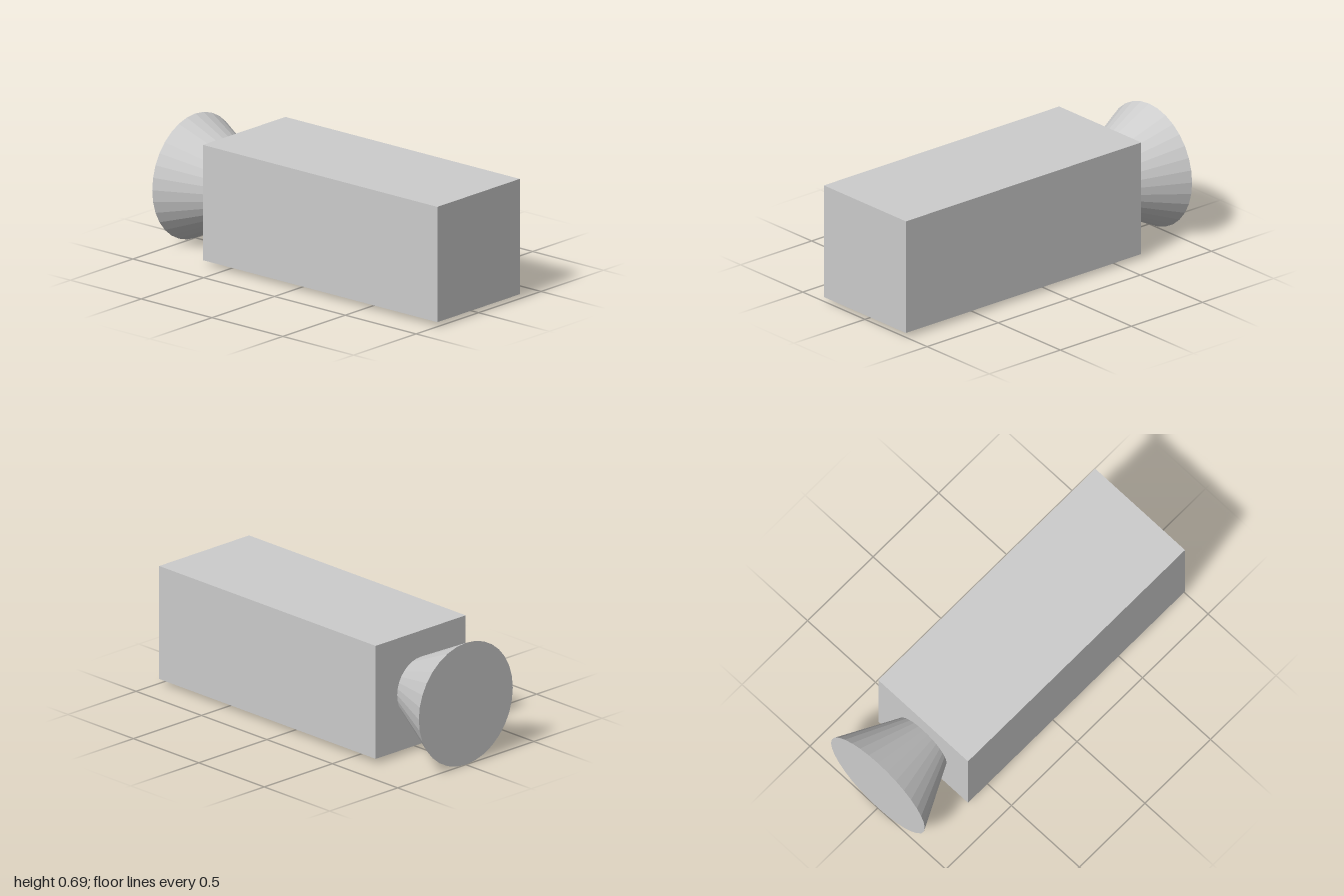
import * as THREE from 'three';

export function createModel() {
  const model = new THREE.Group();
  model.name = 'boxCamera';
  const grey = new THREE.MeshStandardMaterial({ color: 0xcccccc, flatShading: true });
  grey.name = 'light grey';

  const axisY = 0.347; // height of the shared centre line
  const joinZ = -0.655; // where the body meets the flared end

  // Long rectangular body
  const bodyLength = 1 - joinZ;
  const body = new THREE.Mesh(new THREE.BoxGeometry(0.66, 0.64, bodyLength), grey);
  body.name = 'body';
  body.position.set(0, axisY, joinZ + bodyLength / 2);

  // Flared lens hood, widening towards the back, closed at both ends
  const hoodLength = 0.345;
  const hoodGeometry = new THREE.CylinderGeometry(0.345, 0.1725, hoodLength, 32);
  hoodGeometry.rotateX(-Math.PI / 2);
  const hood = new THREE.Mesh(hoodGeometry, grey);
  hood.name = 'lensHood';
  hood.position.set(0, axisY, joinZ - hoodLength / 2);

  model.add(body, hood);
  return model;
}
